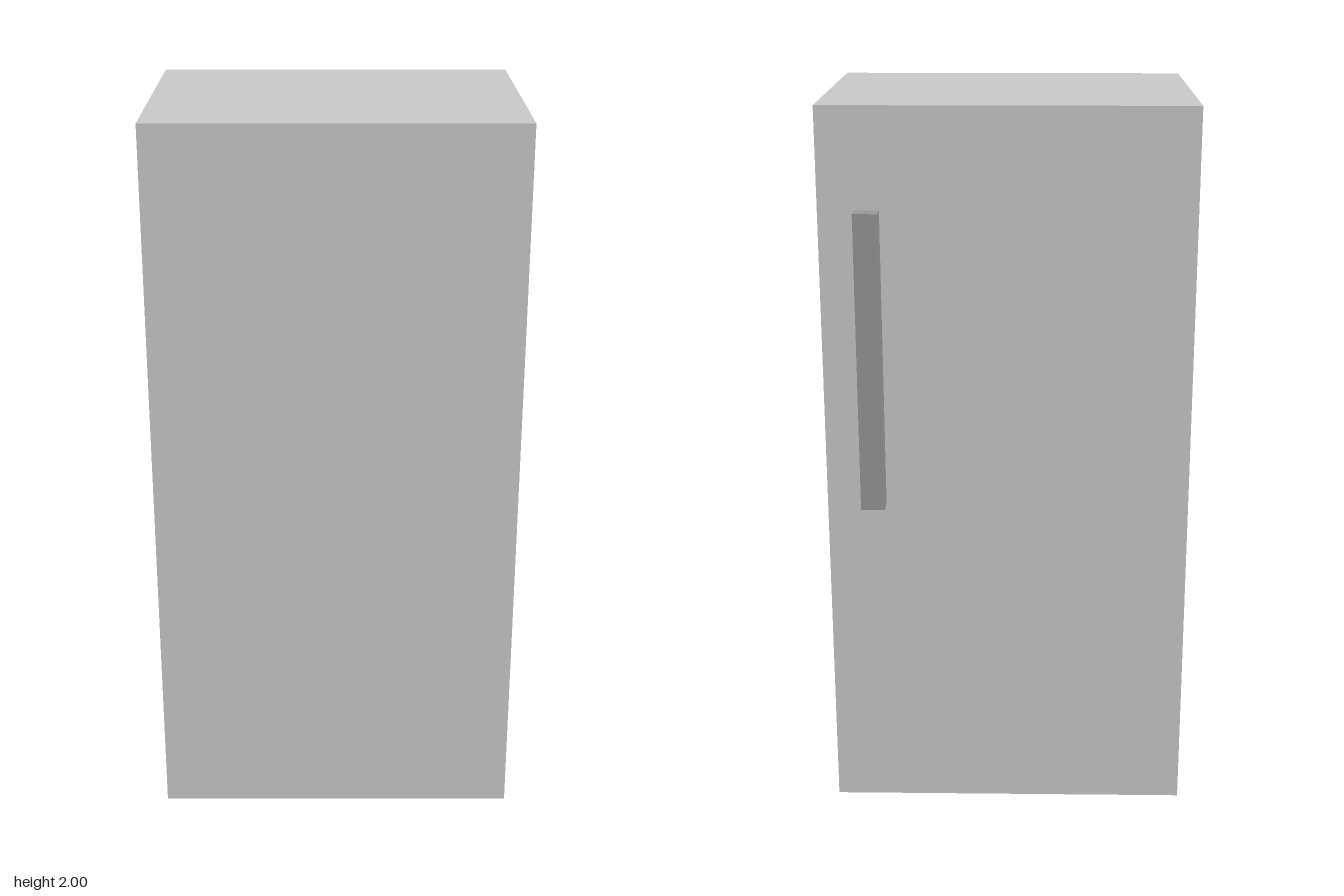
import * as THREE from 'three';

// Box given by its minimum and maximum corners
function block(name, min, max, color) {
  const size = max.map((v, i) => v - min[i]);
  const mesh = new THREE.Mesh(
    new THREE.BoxGeometry(...size),
    new THREE.MeshStandardMaterial({ color })
  );
  mesh.position.set(...min.map((v, i) => (v + max[i]) / 2));
  mesh.name = name;
  return mesh;
}

export function createModel() {
  const group = new THREE.Group();
  group.name = 'refrigerator';

  // Plain cabinet
  group.add(block('cabinet', [-0.497, 0, -0.363], [0.497, 2, 0.416], 0xcccccc));

  // Vertical bar handle on the door side (-z)
  group.add(block('doorHandle', [0.335, 0.915, -0.416], [0.4, 1.73, -0.363], 0x999999));

  return group;
}
